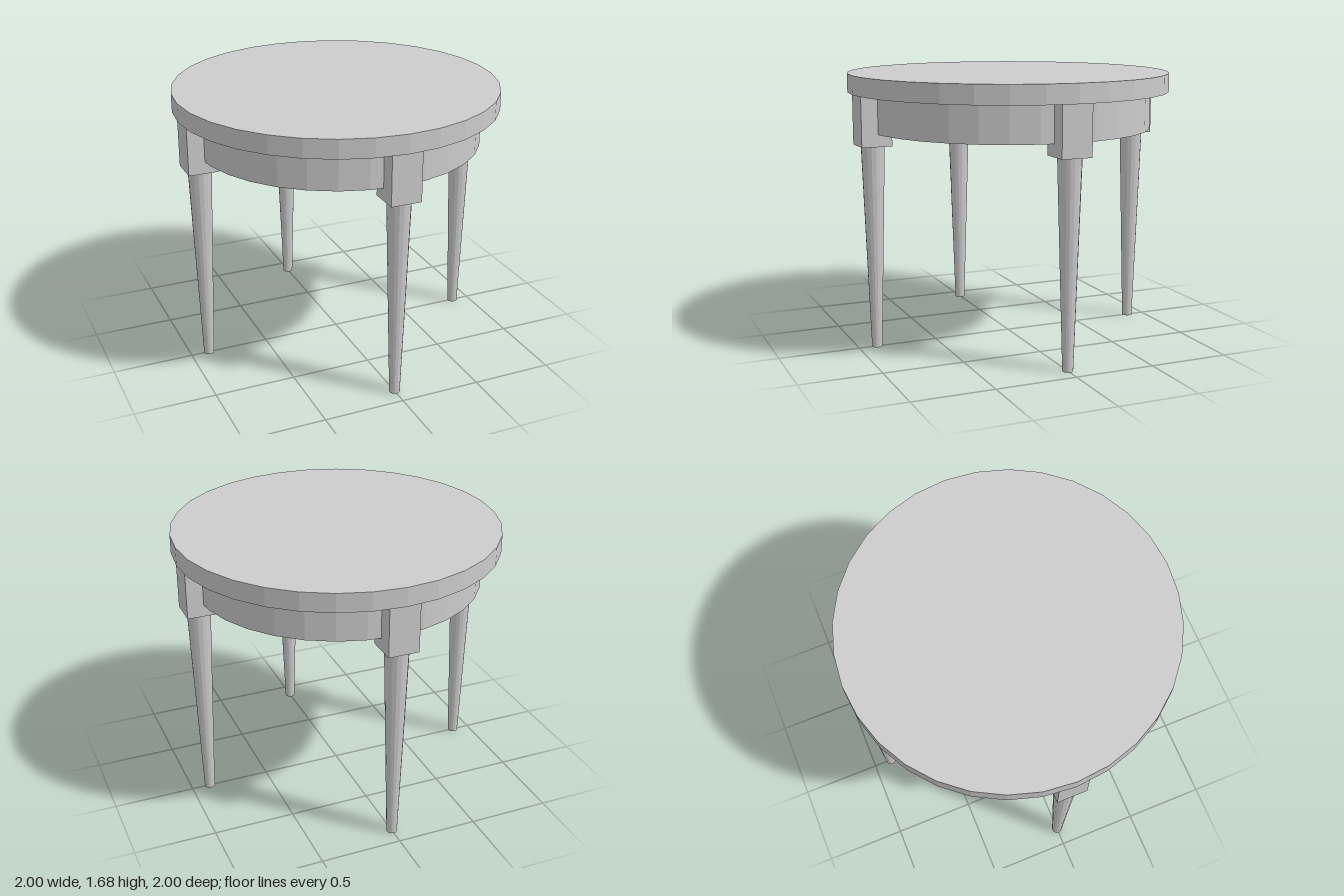
import * as THREE from 'three';

const TOP_Y = 1.68, APRON_TOP = 1.565, APRON_BOTTOM = 1.335, BLOCK_BOTTOM = 1.26;
const LEG_DISTANCE = 0.885;

export function createModel() {
  const table = new THREE.Group();
  table.name = 'roundTable';

  const grey = new THREE.MeshStandardMaterial({ color: 0xcccccc, flatShading: true });
  grey.name = 'light grey';

  // Adds a mesh that spans the heights y0 to y1
  function add(parent, name, geometry, y0, y1) {
    const mesh = new THREE.Mesh(geometry, grey);
    mesh.name = name;
    mesh.position.y = (y0 + y1) / 2;
    parent.add(mesh);
  }

  function cylinder(rTop, rBottom, y0, y1, sides) {
    return new THREE.CylinderGeometry(rTop, rBottom, y1 - y0, sides);
  }

  // Round top and the recessed apron below it
  add(table, 'tableTop', cylinder(1, 1, APRON_TOP, TOP_Y, 32), APRON_TOP, TOP_Y);
  add(table, 'apron', cylinder(0.887, 0.887, APRON_BOTTOM, APRON_TOP, 32), APRON_BOTTOM, APRON_TOP);

  // Four tapered legs, each under a square corner block
  const blockGeometry = new THREE.BoxGeometry(0.188, APRON_TOP - BLOCK_BOTTOM, 0.188);
  const legGeometry = cylinder(0.072, 0.032, 0, BLOCK_BOTTOM, 16);
  ['front', 'left', 'back', 'right'].forEach((side, i) => {
    const angle = i * Math.PI / 2;
    const leg = new THREE.Group();
    leg.name = side + 'Leg';
    leg.position.set(Math.sin(angle) * LEG_DISTANCE, 0, Math.cos(angle) * LEG_DISTANCE);
    add(leg, side + 'LegBlock', blockGeometry, BLOCK_BOTTOM, APRON_TOP);
    add(leg, side + 'LegShaft', legGeometry, 0, BLOCK_BOTTOM);
    table.add(leg);
  });

  return table;
}
